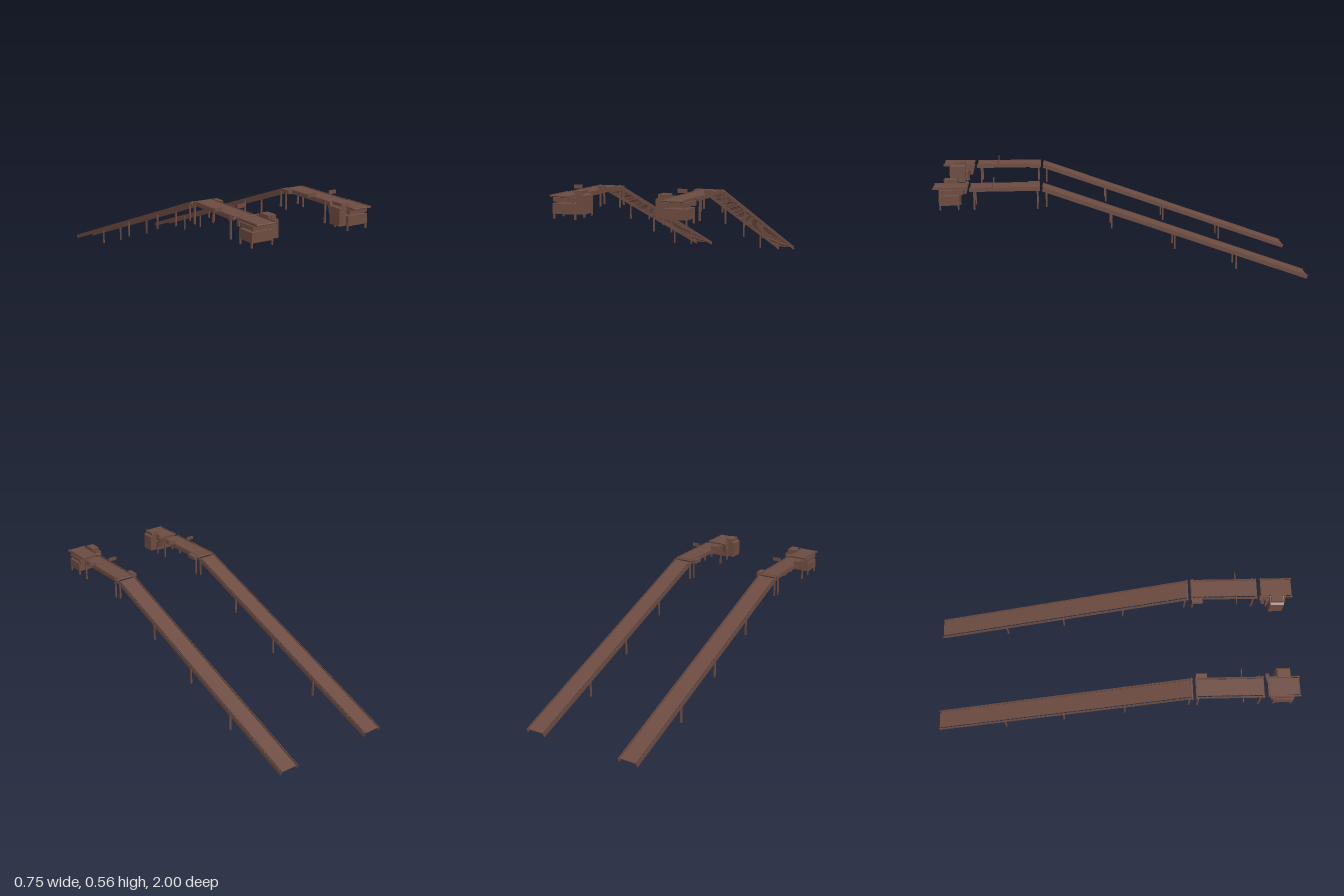
import * as THREE from 'three';

const brown = new THREE.MeshStandardMaterial({ color: 0x6d4c41, flatShading: true });

// One conveyor line; s = 1 for the left one, -1 for its mirror image
function createConveyor(s) {
  const line = new THREE.Group();

  // Box given by its limits on each axis
  const box = (name, x0, x1, y0, y1, z0, z1, parent = line) => {
    const m = new THREE.Mesh(new THREE.BoxGeometry(x1 - x0, y1 - y0, z1 - z0), brown);
    m.position.set(s * (x0 + x1) / 2, (y0 + y1) / 2, (z0 + z1) / 2);
    m.name = name;
    parent.add(m);
    return m;
  };
  // Round bar lying across the line
  const bar = (name, x0, x1, y, z, r, parent = line) => {
    const m = new THREE.Mesh(new THREE.CylinderGeometry(r, r, x1 - x0, 8), brown);
    m.rotation.z = Math.PI / 2;
    m.position.set(s * (x0 + x1) / 2, y, z);
    m.name = name;
    parent.add(m);
  };
  const legs = (z, y0, y1) => {
    box('innerLeg', 0.223, 0.231, y0, y1, z - 0.004, z + 0.004);
    box('outerLeg', 0.337, 0.345, y0, y1, z - 0.004, z + 0.004);
  };
  // Belt with side rails, axles and end pulleys, centred on its own origin
  const deck = (name, length, y, z, tilt = 0) => {
    const g = new THREE.Group();
    g.name = name;
    const h = length / 2;
    box('belt', 0.24, 0.33, 0.005, 0.009, -h + 0.006, h - 0.006, g);
    box('innerRail', 0.2295, 0.2325, -0.011, 0.011, -h, h, g);
    box('outerRail', 0.3365, 0.3395, -0.011, 0.011, -h, h, g);
    const n = Math.round(length / 0.03);
    for (let i = 1; i < n; i++) bar('axle', 0.2325, 0.3365, 0.002, -h + (i * length) / n, 0.002, g);
    g.position.set(0, y, z);
    g.rotation.x = tilt;
    line.add(g);
    return g;
  };

  // Long ramp
  const low = [-0.996, 0.0104], high = [0.432, 0.527];
  const dz = high[0] - low[0], dy = high[1] - low[1];
  const length = Math.hypot(dz, dy);
  const ramp = deck('ramp', length, (low[1] + high[1]) / 2, (low[0] + high[0]) / 2, -Math.atan2(dy, dz));
  bar('topPulley', 0.225, 0.345, 0, length / 2 - 0.006, 0.006, ramp);
  for (const z of [-0.6, -0.265, 0.072, 0.412]) {
    const y = low[1] + ((z - low[0]) * dy) / dz;
    legs(z, y - 0.087, y - 0.004);
  }

  // Level section
  deck('levelSection', 0.365, 0.531, 0.6275);
  legs(0.458, 0.425, 0.54);
  legs(0.786, 0.425, 0.54);
  bar('rearPulley', 0.225, 0.345, 0.531, 0.451, 0.006);
  bar('frontPulley', 0.225, 0.345, 0.531, 0.804, 0.006);
  box('driveMotor', 0.205, 0.23, 0.521, 0.541, 0.45, 0.508);
  box('innerSensorPlate', 0.19, 0.24, 0.543, 0.563, 0.688, 0.692);
  box('outerSensorPlate', 0.327, 0.373, 0.543, 0.563, 0.688, 0.692);

  // End station: deck, carriage, lower cabinet and feet
  box('stationDeck', 0.24, 0.33, 0.539, 0.543, 0.828, 0.995);
  for (const [a, b] of [[0.2295, 0.2325], [0.3365, 0.3395]])
    box('stationRail', a, b, 0.533, 0.545, 0.828, 1);
  bar('stationFrontPulley', 0.228, 0.342, 0.539, 0.993, 0.005);
  bar('stationRearPulley', 0.228, 0.342, 0.539, 0.834, 0.005);
  box('carriage', 0.232, 0.341, 0.508, 0.529, 0.862, 0.968);
  for (const x of [0.24, 0.322])
    for (const z of [0.875, 0.945]) box('carriagePost', x, x + 0.008, 0.499, 0.54, z, z + 0.008);
  box('cabinet', 0.225, 0.345, 0.45, 0.5, 0.862, 0.968);
  legs(0.868, 0.425, 0.452);
  legs(0.962, 0.425, 0.452);

  // Control housing with a sloping top
  const shape = new THREE.Shape(
    [[0.183, 0.45], [0.225, 0.45], [0.225, 0.563], [0.183, 0.54]].map(([x, y]) => new THREE.Vector2(s * x, y)));
  const housing = new THREE.Mesh(new THREE.ExtrudeGeometry(shape, { depth: 0.075, bevelEnabled: false }), brown);
  housing.position.z = 0.876;
  housing.name = 'controlHousing';
  line.add(housing);
  box('housingCap', 0.195, 0.24, 0.546, 0.563, 0.88, 0.947);

  // Tilted motor between the level section and the station
  const motor = box('tiltedMotor', 0.213, 0.24, 0.485, 0.545, 0.827, 0.845);
  motor.rotation.x = -0.25;
  box('motorBracket', 0.225, 0.345, 0.505, 0.53, 0.842, 0.862);
  return line;
}

export function createModel() {
  const model = new THREE.Group();
  model.name = 'conveyorPair';
  for (const s of [1, -1]) {
    const line = createConveyor(s);
    line.name = s > 0 ? 'leftConveyor' : 'rightConveyor';
    model.add(line);
  }
  return model;
}
